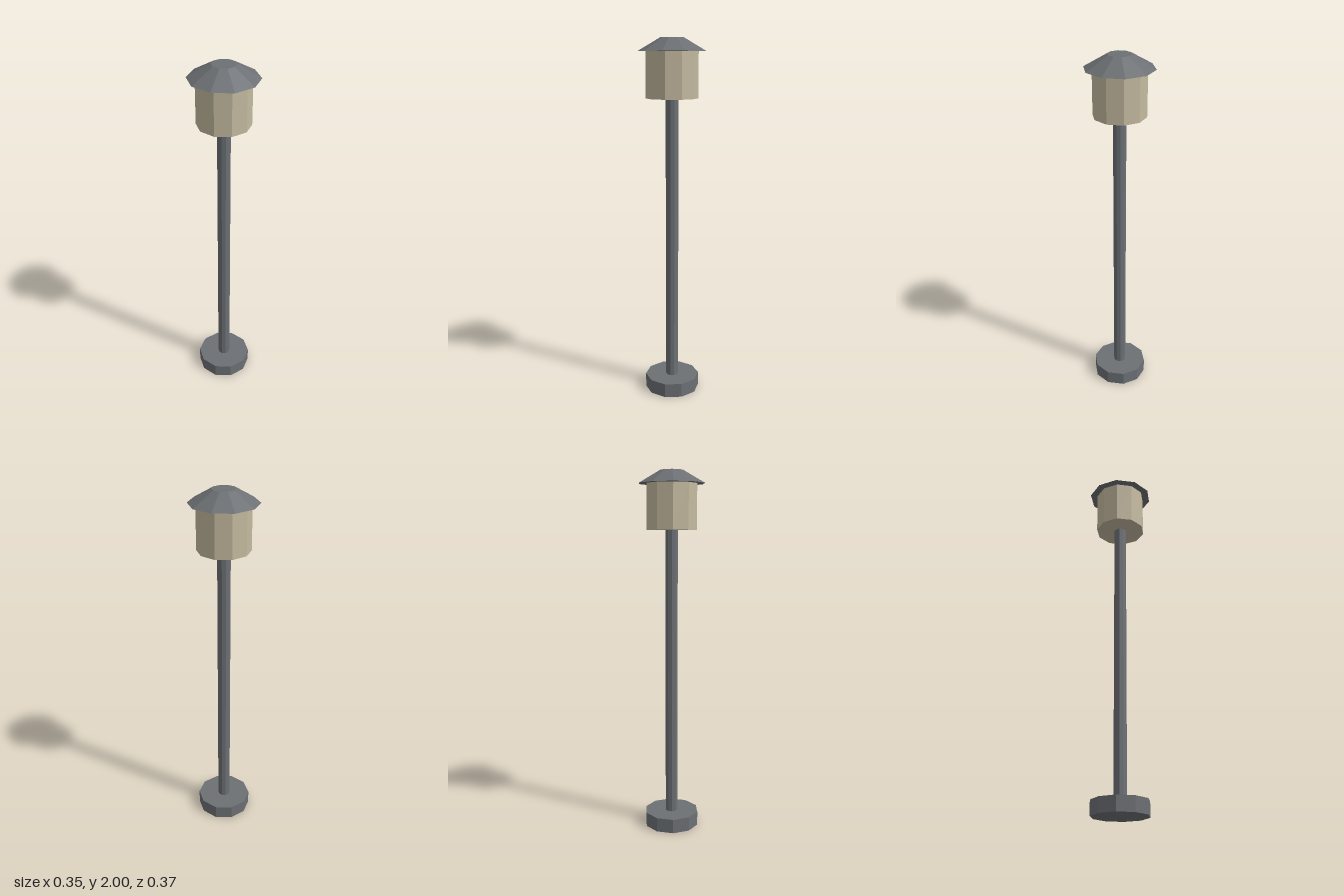
import * as THREE from 'three';

const SIDES = 10;

export function createModel() {
  const model = new THREE.Group();
  model.name = 'lampPost';

  const metal = new THREE.MeshStandardMaterial({ color: 0x6c7074 });
  metal.name = 'grey metal';
  const glass = new THREE.MeshStandardMaterial({ color: 0xc5baa0 });
  glass.name = 'cream glass';

  // Ten-sided faceted drum between two heights
  function addDrum(name, topRadius, bottomRadius, y0, y1, material) {
    const indexed = new THREE.CylinderGeometry(topRadius, bottomRadius, y1 - y0, SIDES);
    const geometry = indexed.toNonIndexed();
    geometry.computeVertexNormals(); // one flat normal per facet
    const mesh = new THREE.Mesh(geometry, material);
    mesh.name = name;
    mesh.position.y = (y0 + y1) / 2;
    model.add(mesh);
  }

  addDrum('base', 0.154, 0.154, 0, 0.08, metal);
  addDrum('pole', 0.035, 0.035, 0.08, 1.685, metal);
  addDrum('lantern', 0.141, 0.141, 1.685, 1.93, glass);
  addDrum('cap', 0.063, 0.183, 1.93, 2, metal);

  return model;
}
